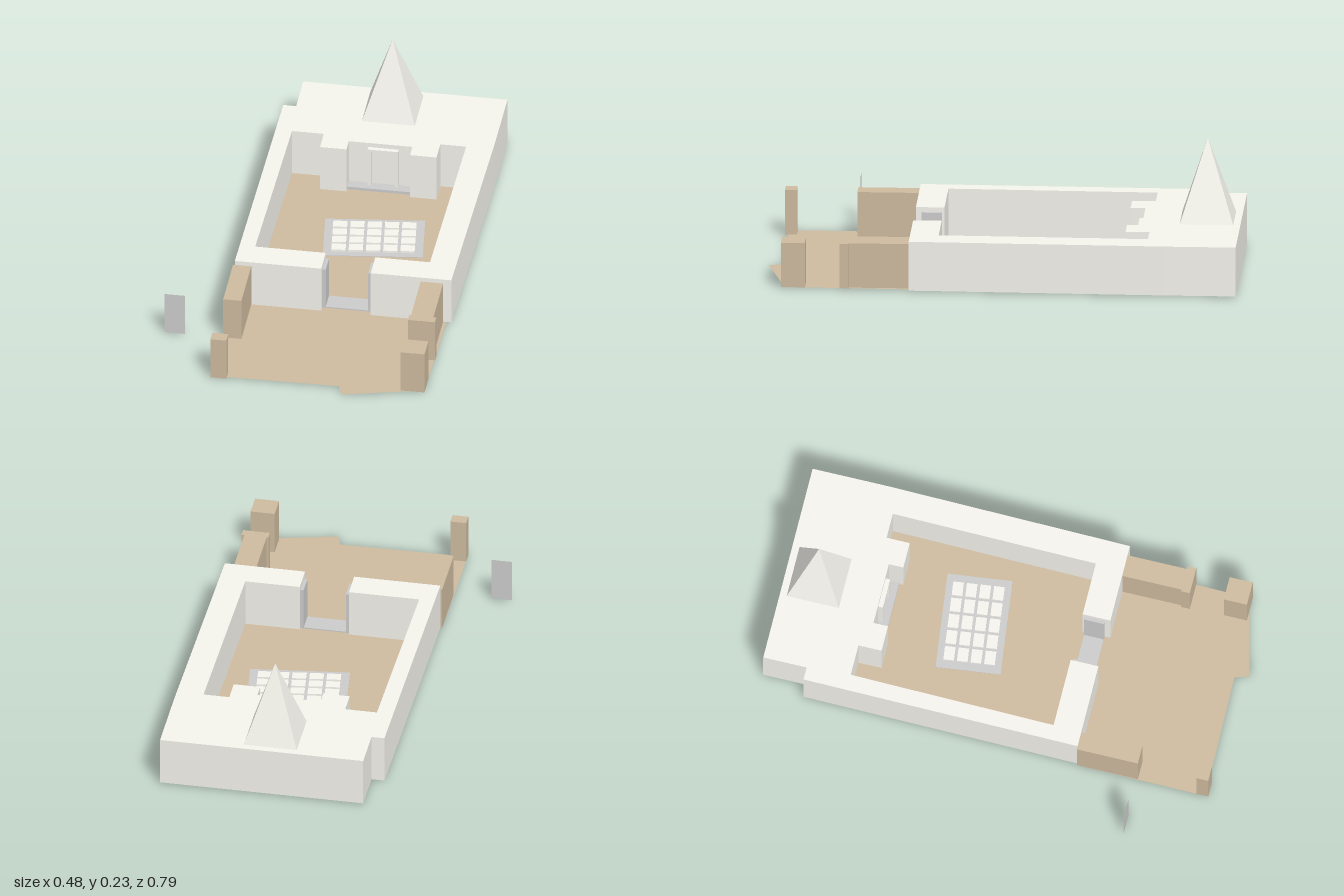
import * as THREE from 'three';

const FLOOR = 0.005, ROOF = 0.09, WALL = 0.082;
const mat = (color) =>
  new THREE.MeshStandardMaterial({ color, side: THREE.DoubleSide, flatShading: true });
const stone = mat(0xf4f3ec);
const grey = mat(0xcccccc);
const tan = mat(0xcdba9f);

// Horizontal sheet from an [x, z] outline
function sheet(outline, y) {
  const shape = new THREE.Shape(outline.map(([x, z]) => new THREE.Vector2(x, -z)));
  return new THREE.ShapeGeometry(shape).rotateX(-Math.PI / 2).translate(0, y, 0);
}

// Vertical walls standing on a closed [x, z] outline
function wallStrip(outline, y0, y1) {
  const pos = [];
  outline.forEach(([ax, az], i) => {
    const [bx, bz] = outline[(i + 1) % outline.length];
    pos.push(ax, y0, az, bx, y0, bz, bx, y1, bz, ax, y0, az, bx, y1, bz, ax, y1, az);
  });
  const geo = new THREE.BufferGeometry();
  geo.setAttribute('position', new THREE.Float32BufferAttribute(pos, 3));
  geo.computeVertexNormals();
  return geo;
}

export function createModel() {
  const model = new THREE.Group();
  model.name = 'walledCourtyard';

  const add = (name, geo, material, parent = model) => {
    const mesh = new THREE.Mesh(geo, material);
    mesh.name = name;
    parent.add(mesh);
  };
  const box = (name, x0, x1, y0, y1, z0, z1, material, parent) => add(name,
    new THREE.BoxGeometry(x1 - x0, y1 - y0, z1 - z0)
      .translate((x0 + x1) / 2, (y0 + y1) / 2, (z0 + z1) / 2), material, parent);

  // Building ring around the court, open at the front gate
  const ring = [
    [0.02, 0.355], [0.167, 0.355], [0.167, 0.307], [0.047, 0.307],
    [0.053, -0.045], [0.107, -0.045], [0.107, -0.005], [0.152, -0.005],
    [0.152, -0.03], [0.26, -0.03], [0.26, -0.005], [0.305, -0.005],
    [0.305, -0.045], [0.349, -0.045], [0.344, 0.307], [0.251, 0.307],
    [0.251, 0.355], [0.388, 0.355], [0.395, -0.07], [0.395, -0.195],
    [0.048, -0.195], [0.048, -0.12], [0.026, -0.12],
  ];
  add('buildingWalls', wallStrip(ring, FLOOR, ROOF), stone);
  add('buildingRoof', sheet(ring, ROOF), stone);

  // Four-sided spire at the back
  add('spire', new THREE.ConeGeometry(0.045 * Math.SQRT2, 0.14, 4, 1, true)
    .rotateY(Math.PI / 4).translate(0.209, ROOF + 0.07, -0.138), stone);

  // Doorway in the back wall of the court
  const door = new THREE.Group();
  door.name = 'doorway';
  model.add(door);
  for (const x of [0.185, 0.231])
    box('doorJamb', x, x + 0.006, FLOOR, WALL, -0.03, -0.022, stone, door);
  box('doorLintel', 0.185, 0.237, WALL - 0.004, WALL, -0.03, -0.022, stone, door);
  box('doorStep', 0.152, 0.26, 0.003, 0.01, -0.06, -0.012, grey, door);

  // Jambs and sill of the front gate
  for (const x of [0.167, 0.245])
    box('gateJamb', x, x + 0.006, FLOOR, WALL, 0.311, 0.345, grey);
  box('gateSill', 0.167, 0.251, 0.003, 0.007, 0.311, 0.345, grey);

  // Court floor, running out through the gate
  add('courtFloor', sheet([[0.047, 0.307], [0.167, 0.307], [0.167, 0.355],
    [0.251, 0.355], [0.251, 0.307], [0.344, 0.307], [0.349, -0.045], [0.053, -0.045]], FLOOR), tan);

  // Forecourt paving
  add('forecourtFloor', sheet([[0.017, 0.355], [0.015, 0.577], [0.232, 0.574],
    [0.24, 0.598], [0.376, 0.564], [0.38, 0.355]], FLOOR), tan);

  // Forecourt side walls and gate posts
  box('forecourtLeftWall', 0.017, 0.048, FLOOR, WALL, 0.355, 0.46, tan);
  box('forecourtRightWall', 0.336, 0.374, FLOOR, WALL, 0.355, 0.457, tan);
  box('rightWallPost', 0.333, 0.379, FLOOR, WALL, 0.457, 0.472, tan);
  box('leftGatePost', 0.015, 0.042, FLOOR, WALL, 0.562, 0.582, tan);
  box('rightGatePost', 0.336, 0.377, FLOOR, WALL, 0.53, 0.57, tan);

  // Free-standing thin panel beside the forecourt
  add('sidePanel', new THREE.PlaneGeometry(0.035, WALL - FLOOR)
    .translate(-0.065, (WALL + FLOOR) / 2, 0.46), grey);

  // Low turned platform with a grid of slabs in the court
  const platform = new THREE.Group();
  platform.name = 'platform';
  platform.position.set(0.22, 0, 0.127);
  platform.rotation.y = 0.12;
  model.add(platform);
  box('platformBase', -0.084, 0.084, 0.003, 0.006, -0.055, 0.055, grey, platform);
  for (let i = 0; i < 5; i++) for (let j = 0; j < 4; j++) {
    const x = (i - 2) * 0.029, z = (j - 1.5) * 0.023;
    box('platformSlab', x - 0.012, x + 0.012, 0.006, 0.01, z - 0.009, z + 0.009, stone, platform);
  }
  return model;
}
